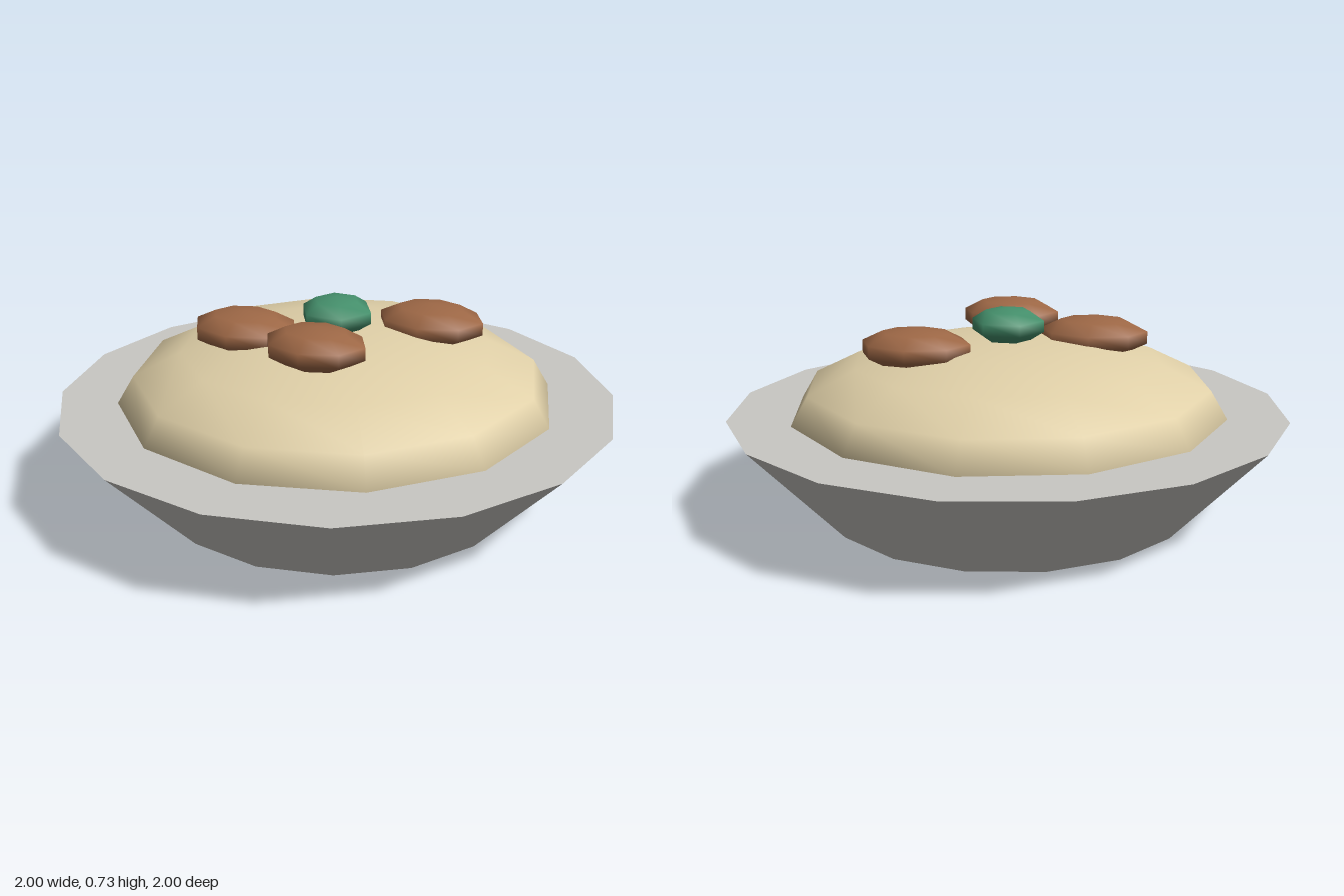
import * as THREE from 'three';

const material = (name, color) => {
  const m = new THREE.MeshStandardMaterial({ color });
  m.name = name;
  return m;
};

export function createModel() {
  const model = new THREE.Group();
  model.name = 'bowlOfFood';

  const bowlGrey = material('bowl grey', 0xc9c7c3);
  const cream = material('cream', 0xe0d0a8);
  const brown = material('brown', 0x9e6846);
  const green = material('green', 0x45906c);

  const add = (name, geometry, mat, position, scale = [1, 1, 1]) => {
    const mesh = new THREE.Mesh(geometry, mat);
    mesh.name = name;
    mesh.position.set(...position);
    mesh.scale.set(...scale);
    model.add(mesh);
  };

  // Flared bowl with a flat top
  add('bowl', new THREE.CylinderGeometry(1, 0.665, 0.36, 16), bowlGrey, [0, 0.18, 0]);

  // Domed filling
  const dome = new THREE.SphereGeometry(1, 12, 4, 0, Math.PI * 2, 0, Math.PI / 2);
  add('filling', dome, cream, [0, 0.36, 0], [0.785, 0.26, 0.785]);

  // Flattened chunks resting on the filling
  const chunk = new THREE.SphereGeometry(1, 8, 5);
  [
    [[-0.29, 0.61, 0.14], [0.204, 0.072, 0.157]],
    [[0.285, 0.61, -0.195], [0.204, 0.072, 0.157]],
    [[0.045, 0.642, 0.28], [0.188, 0.072, 0.147]],
  ].forEach(([position, scale], i) => add(`chunk${i + 1}`, chunk, brown, position, scale));

  // Green garnish in the middle
  add('garnish', new THREE.SphereGeometry(1, 6, 5), green, [0, 0.665, 0], [0.137, 0.065, 0.137]);

  return model;
}
